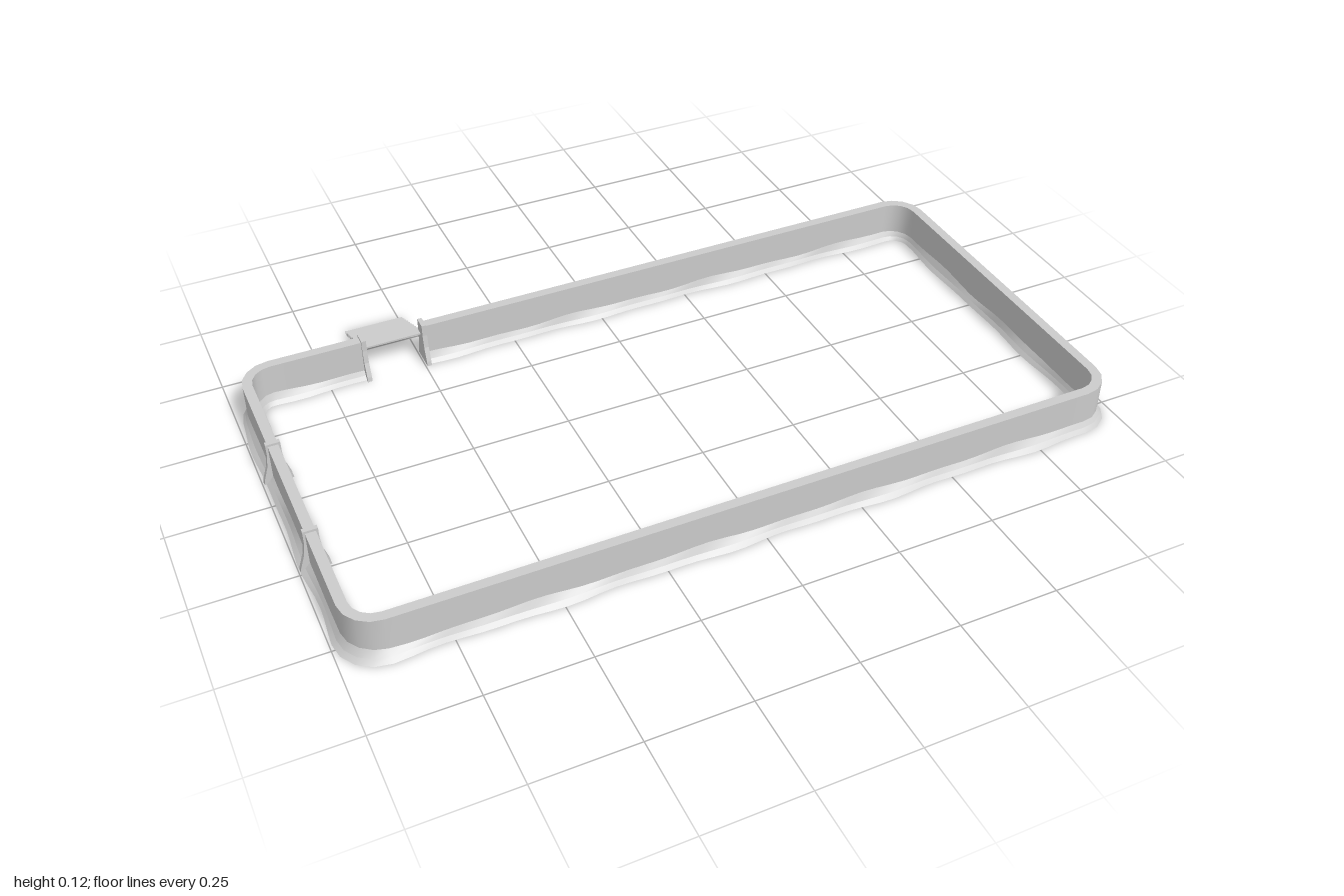
import * as THREE from 'three';

const material = new THREE.MeshStandardMaterial({ color: 0xcccccc, side: THREE.DoubleSide });
const HEIGHT = 0.11, HALF = 0.0125;
const X = 0.96, FRONT = 0.552, BACK = -0.398, RADIUS = 0.07;
const GATE_LEFT = -0.49, GATE_RIGHT = -0.65;

// Centre line of the wall, from one gate jamb around to the other, with outward normals
function wallPath() {
  const path = [];
  const line = (x0, z0, x1, z1, nx, nz) => {
    const n = Math.ceil(Math.hypot(x1 - x0, z1 - z0) / 0.04);
    for (let i = 0; i <= n; i++) {
      const t = i / n;
      path.push({ x: x0 + (x1 - x0) * t, z: z0 + (z1 - z0) * t, nx, nz });
    }
  };
  const corner = (cx, cz, start) => {
    for (let i = 1; i < 4; i++) {
      const a = start + (i / 4) * Math.PI / 2;
      const nx = Math.cos(a), nz = Math.sin(a);
      path.push({ x: cx + RADIUS * nx, z: cz + RADIUS * nz, nx, nz });
    }
  };
  const cx = X - RADIUS, zf = FRONT - RADIUS, zb = BACK + RADIUS;
  line(GATE_LEFT, BACK, cx, BACK, 0, -1);
  corner(cx, zb, -Math.PI / 2);
  line(X, zb, X, zf, 1, 0);
  corner(cx, zf, 0);
  line(cx, FRONT, -cx, FRONT, 0, 1);
  corner(-cx, zf, Math.PI / 2);
  line(-X, zf, -X, zb, -1, 0);
  corner(-cx, zb, Math.PI);
  line(-cx, BACK, GATE_RIGHT, BACK, 0, -1);
  return path;
}

// Sweeps a strip between two (offset, height) rules along the path
function strip(path, lower, upper) {
  const positions = [], index = [];
  path.forEach((p, i) => {
    for (const rule of [lower, upper]) {
      const [d, y] = rule(p);
      positions.push(p.x + p.nx * d, y, p.z + p.nz * d);
    }
    if (i > 0) {
      const a = 2 * i - 2;
      index.push(a, a + 1, a + 2, a + 1, a + 3, a + 2);
    }
  });
  const geometry = new THREE.BufferGeometry();
  geometry.setAttribute('position', new THREE.Float32BufferAttribute(positions, 3));
  geometry.setIndex(index);
  geometry.computeVertexNormals();
  return geometry;
}

// Gentle irregular wave for the banked earth, between -1 and 1
const wave = (p, phase) =>
  0.6 * Math.sin(p.x * 15 + p.z * 17 + phase) + 0.4 * Math.sin(p.x * 31 - p.z * 27 + phase * 2);

function addMesh(parent, name, geometry) {
  const mesh = new THREE.Mesh(geometry, material);
  mesh.name = name;
  parent.add(mesh);
  return mesh;
}

// Upright rib straddling the wall, flared at its foot; its profile lies in local x/y
function ribGeometry(width) {
  const half = [[0.036, 0], [0.034, 0.012], [0.022, 0.05], [0.018, 0.085], [0.018, 0.116]];
  const shape = new THREE.Shape([
    ...half.map(([x, y]) => new THREE.Vector2(x, y)),
    ...half.slice().reverse().map(([x, y]) => new THREE.Vector2(-x, y)),
  ]);
  const geometry = new THREE.ExtrudeGeometry(shape, { depth: width, bevelEnabled: false });
  geometry.translate(0, 0, -width / 2);
  return geometry;
}

export function createModel() {
  const model = new THREE.Group();
  model.name = 'walledEnclosure';
  const path = wallPath();

  // Wall faces and top
  const wall = new THREE.Group();
  wall.name = 'wall';
  model.add(wall);
  const at = (d, y) => () => [d, y];
  addMesh(wall, 'wallOuterFace', strip(path, at(HALF, 0), at(HALF, HEIGHT)));
  addMesh(wall, 'wallTop', strip(path, at(HALF, HEIGHT), at(-HALF, HEIGHT)));
  addMesh(wall, 'wallInnerFace', strip(path, at(-HALF, HEIGHT), at(-HALF, 0)));

  // Wavy banks of earth along both feet of the wall
  const outerToe = p => [0.032 + 0.006 * wave(p, 0), 0];
  const outerMid = p => [0.022 + 0.003 * wave(p, 0), 0.01];
  const outerTop = p => [HALF, 0.024 + 0.005 * wave(p, 1)];
  const innerToe = p => [-0.028 - 0.005 * wave(p, 2), 0];
  const innerMid = p => [-0.02 - 0.003 * wave(p, 2), 0.01];
  const innerTop = p => [-HALF, 0.024 + 0.005 * wave(p, 3)];
  const banks = new THREE.Group();
  banks.name = 'earthBanks';
  model.add(banks);
  addMesh(banks, 'outerBankToe', strip(path, outerToe, outerMid));
  addMesh(banks, 'outerBankSlope', strip(path, outerMid, outerTop));
  addMesh(banks, 'innerBankSlope', strip(path, innerTop, innerMid));
  addMesh(banks, 'innerBankToe', strip(path, innerMid, innerToe));

  // Ribs on the right wall
  const rib = ribGeometry(0.012);
  for (const z of [-0.088, 0.237]) addMesh(model, 'wallRib', rib).position.set(-X, 0, z);

  // Gate jambs
  for (const x of [GATE_RIGHT, GATE_LEFT]) {
    const jamb = addMesh(model, 'gateJamb', rib);
    jamb.position.set(x, 0, BACK);
    jamb.rotation.y = Math.PI / 2;
  }

  // Thin stepped stair down from the gate
  const stair = new THREE.Group();
  stair.name = 'stair';
  model.add(stair);
  const steps = 10, run = 0.019, rise = 0.0083, thick = 0.004;
  const width = GATE_LEFT - GATE_RIGHT - 0.002, middle = (GATE_LEFT + GATE_RIGHT) / 2;
  const tread = new THREE.BoxGeometry(width, thick, run + 0.002);
  const riser = new THREE.BoxGeometry(width, rise, 0.002);
  for (let i = 0; i < steps; i++) {
    const y = 0.08 - i * rise, z = -0.4 - i * run;
    addMesh(stair, 'tread', tread).position.set(middle, y, z - run / 2);
    if (i < steps - 1) addMesh(stair, 'riser', riser).position.set(middle, y - rise / 2, z - run);
  }
  return model;
}
